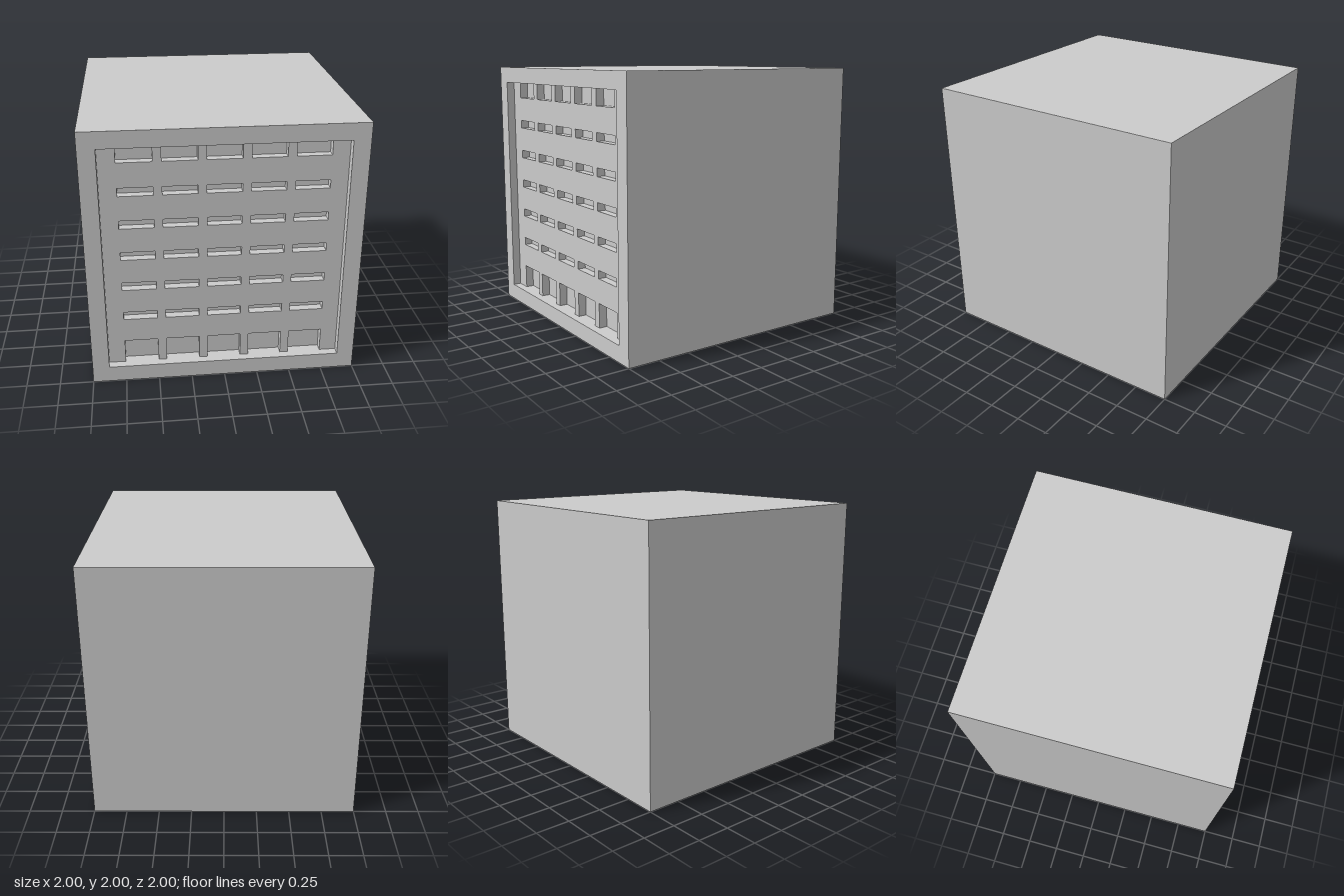
import * as THREE from 'three';

const material = new THREE.MeshStandardMaterial({ color: 0xcccccc });
const DEPTH = 0.0625; // depth of the recess, and of each slot behind it
const SIDES = [0, 1, 2, 3], BACK = 5; // BoxGeometry face order: +x -x +y -y +z -z

// Box that keeps only the listed faces, optionally turned inside out
function partialBox(w, h, d, faces, insideOut = false) {
  const geometry = new THREE.BoxGeometry(w, h, d);
  const all = Array.from(geometry.index.array);
  const index = faces.flatMap((f) => all.slice(f * 6, f * 6 + 6));
  geometry.clearGroups();
  geometry.setIndex(insideOut ? index.reverse() : index);
  geometry.computeVertexNormals();
  return geometry;
}

// Rectangle as corner points
const rect = (x0, y0, x1, y1) =>
  [[x0, y0], [x1, y0], [x1, y1], [x0, y1]].map(([x, y]) => new THREE.Vector2(x, y));

export function createModel() {
  const model = new THREE.Group();
  const add = (name, geometry, x, y, z) => {
    const mesh = new THREE.Mesh(geometry, material);
    mesh.name = name;
    mesh.position.set(x, y, z);
    model.add(mesh);
  };

  // Cube body, open at the front
  add('body', partialBox(2, 2, 2, [...SIDES, BACK]), 0, 1, 0);

  // Front border around the recess
  const border = new THREE.Shape(rect(-1, 0, 1, 2));
  border.holes.push(new THREE.Path(rect(-0.875, 0.125, 0.875, 1.875)));
  add('frontBorder', new THREE.ShapeGeometry(border), 0, 0, 1);
  add('recessWalls', partialBox(1.75, 1.75, DEPTH, SIDES, true), 0, 1, 1 - DEPTH / 2);

  // Slot grid: five columns; tall bottom row, five thin rows, top row
  const columns = [-2, -1, 0, 1, 2].map((i) => i * 0.3125);
  const thinRows = [0.5, 0.75, 1, 1.25, 1.5].map((y) => [y, y + 0.0625]);
  const rows = [[0.125, 0.3125], ...thinRows, [1.75, 1.875]];

  // Panel outline, notched where the bottom and top rows meet its edge
  const outline = [new THREE.Vector2(-0.875, 0.125)];
  const notch = (x, dir, edge, inner) => {
    const a = x - dir * 0.125, b = x + dir * 0.125;
    outline.push(...[[a, edge], [a, inner], [b, inner], [b, edge]].map((p) => new THREE.Vector2(...p)));
  };
  columns.forEach((x) => notch(x, 1, 0.125, 0.3125));
  outline.push(new THREE.Vector2(0.875, 0.125), new THREE.Vector2(0.875, 1.875));
  [...columns].reverse().forEach((x) => notch(x, -1, 1.875, 1.75));
  outline.push(new THREE.Vector2(-0.875, 1.875));

  const panel = new THREE.Shape(outline);
  for (const x of columns) {
    for (const [y0, y1] of thinRows) {
      panel.holes.push(new THREE.Path(rect(x - 0.125, y0, x + 0.125, y1)));
    }
  }
  add('slottedPanel', new THREE.ShapeGeometry(panel), 0, 0, 1 - DEPTH);

  // Slot pockets behind the panel
  for (const [y0, y1] of rows) {
    const pocket = partialBox(0.25, y1 - y0, DEPTH, [...SIDES, BACK], true);
    for (const x of columns) add('slot', pocket, x, (y0 + y1) / 2, 1 - DEPTH * 1.5);
  }

  return model;
}
